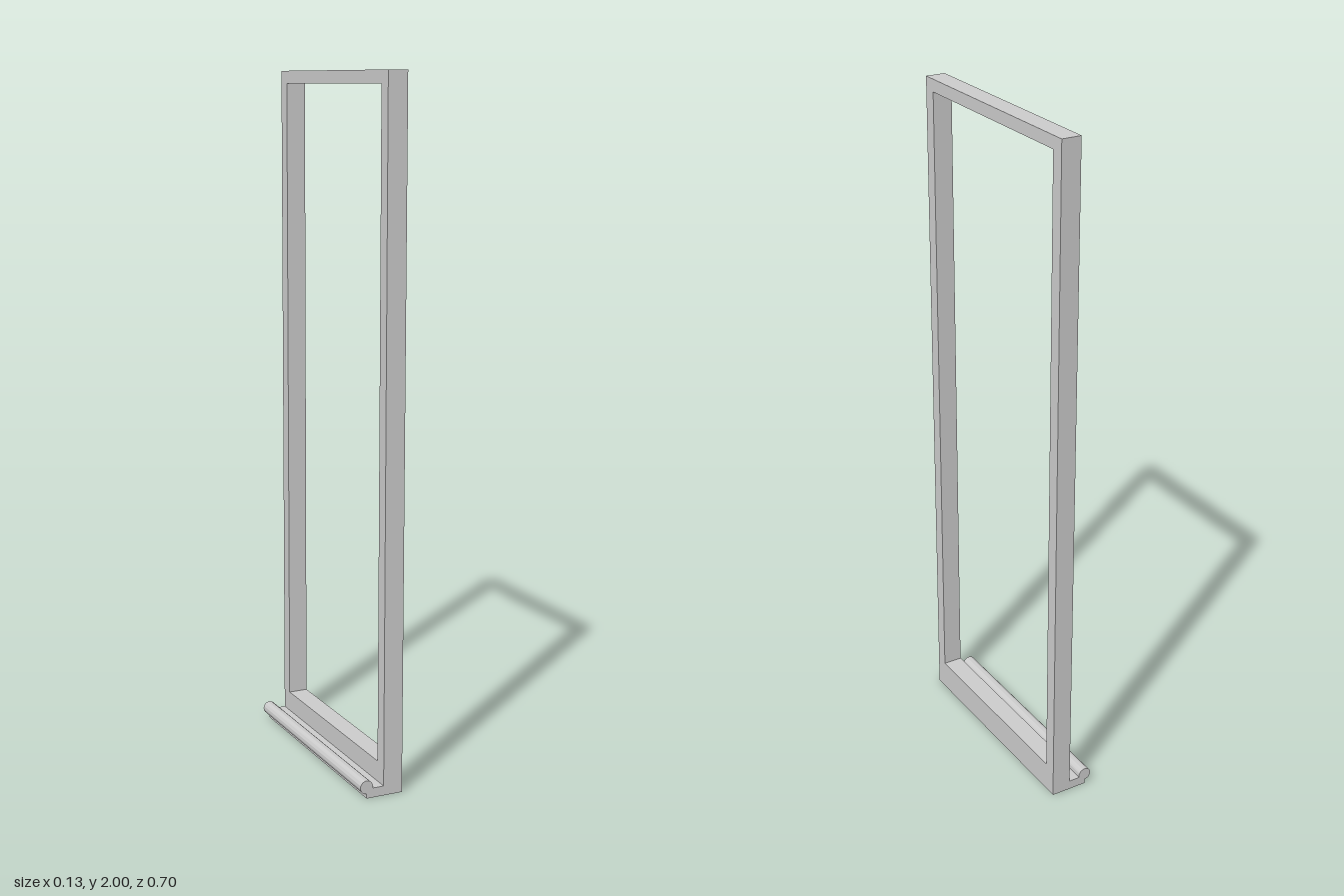
import * as THREE from 'three';
import { toCreasedNormals } from 'three/addons/utils/BufferGeometryUtils.js';

const HALF_WIDTH = 0.348;
const BACK = 0.065;    // x of the flat face away from the lip
const FACE = 0.007;    // x of the face above the lip

export function createModel() {
  const group = new THREE.Group();
  const material = new THREE.MeshStandardMaterial({ color: 0xcccccc });

  // Upright rectangular frame with one opening, thicker along the bottom
  const outline = new THREE.Shape([
    new THREE.Vector2(-HALF_WIDTH, 0), new THREE.Vector2(HALF_WIDTH, 0),
    new THREE.Vector2(HALF_WIDTH, 2), new THREE.Vector2(-HALF_WIDTH, 2),
  ]);
  outline.holes.push(new THREE.Path([
    new THREE.Vector2(-0.309, 0.088), new THREE.Vector2(-0.309, 1.964),
    new THREE.Vector2(0.309, 1.964), new THREE.Vector2(0.309, 0.088),
  ]));
  const frameGeometry = new THREE.ExtrudeGeometry(outline, { depth: BACK - FACE, bevelEnabled: false });
  frameGeometry.rotateY(Math.PI / 2).translate(FACE, 0, 0);
  const frame = new THREE.Mesh(frameGeometry, material);
  frame.name = 'frame';

  // Ledge along the bottom, ending in a rounded bead
  const bead = { x: -0.046, y: 0.033, r: 0.0195 };
  const ledgeTop = 0.028;
  const profile = new THREE.Shape();
  profile.moveTo(bead.x, 0);
  profile.lineTo(FACE, 0);
  profile.lineTo(FACE, ledgeTop);
  profile.absarc(bead.x, bead.y, bead.r, Math.asin((ledgeTop - bead.y) / bead.r), Math.PI * 1.5, false);
  profile.closePath();
  const lipGeometry = new THREE.ExtrudeGeometry(profile, {
    depth: HALF_WIDTH * 2, bevelEnabled: false, curveSegments: 32,
  });
  lipGeometry.translate(0, 0, -HALF_WIDTH);
  const lip = new THREE.Mesh(toCreasedNormals(lipGeometry, 0.5), material);
  lip.name = 'bottomLip';

  group.add(frame, lip);
  return group;
}
